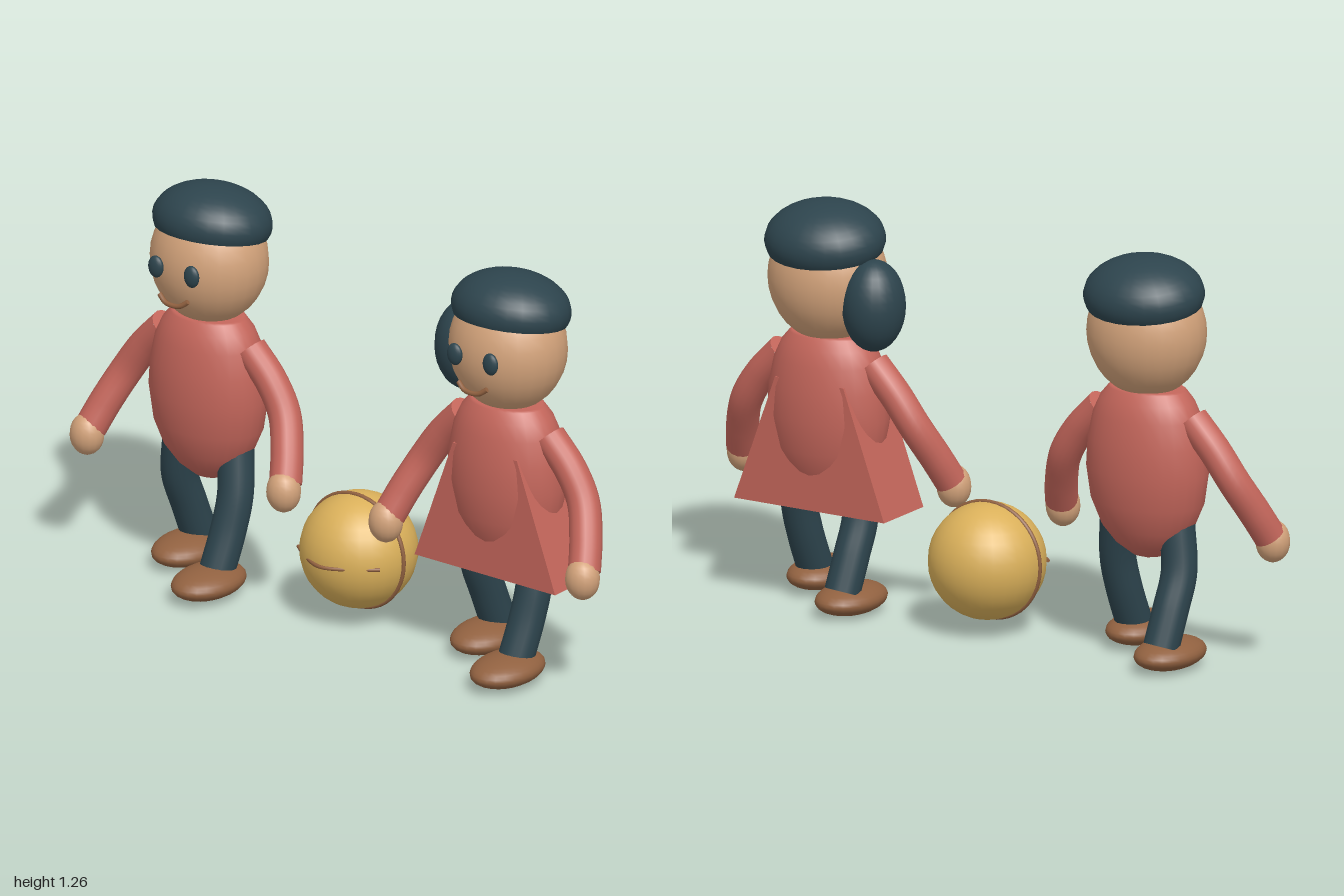
import * as THREE from 'three';
import { mergeGeometries } from 'three/addons/utils/BufferGeometryUtils.js';

const V = (x, y, z) => new THREE.Vector3(x, y, z);

function material(name, color) {
  const m = new THREE.MeshStandardMaterial({ color });
  m.name = name;
  return m;
}

function addMesh(parent, name, geometry, mat, x = 0, y = 0, z = 0) {
  const mesh = new THREE.Mesh(geometry, mat);
  mesh.name = name;
  mesh.position.set(x, y, z);
  parent.add(mesh);
  return mesh;
}

const ellipsoid = (rx, ry, rz, w = 24, h = 16) =>
  new THREE.SphereGeometry(1, w, h).scale(rx, ry, rz);

// Tube through points, closed with a flat disc at each end
function cappedTube(points, radius, segments = 20, sides = 16) {
  const curve = new THREE.CatmullRomCurve3(points);
  const parts = [new THREE.TubeGeometry(curve, segments, radius, sides)];
  for (const t of [0, 1]) {
    const dir = curve.getTangent(t).multiplyScalar(t ? 1 : -1);
    const disc = new THREE.CircleGeometry(radius, sides);
    disc.applyQuaternion(new THREE.Quaternion().setFromUnitVectors(V(0, 0, 1), dir));
    const p = curve.getPoint(t);
    parts.push(disc.translate(p.x, p.y, p.z));
  }
  return mergeGeometries(parts);
}

function createChild(mats, name, x) {
  const { skin, dark, red, brown } = mats;
  const child = new THREE.Group();
  child.name = name;
  child.position.set(x, 0, -0.045);

  // Body: flattened egg with a flat neckline
  const profile = [[0, 0.32], [0.05, 0.332], [0.105, 0.368], [0.15, 0.42], [0.185, 0.5], [0.2, 0.6],
    [0.195, 0.69], [0.178, 0.77], [0.155, 0.82], [0.128, 0.852], [0.12, 0.857], [0, 0.858]]
    .map(([r, y]) => new THREE.Vector2(r, y));
  addMesh(child, 'torso', new THREE.LatheGeometry(profile, 28).scale(1, 1, 0.715), red);

  // Head, cap-like hair and face
  addMesh(child, 'head', ellipsoid(0.187, 0.2, 0.17), skin, 0, 1.03, -0.005);
  const capGeo = new THREE.SphereGeometry(1, 24, 12, 0, Math.PI * 2, 0, Math.PI * 0.6).scale(0.19, 0.115, 0.17);
  const rim = new THREE.CircleGeometry(0.951, 24).rotateX(Math.PI / 2).scale(0.19, 1, 0.17).translate(0, -0.0355, 0);
  const hair = addMesh(child, 'hair', mergeGeometries([capGeo, rim]), dark, 0, 1.15, -0.02);
  hair.rotation.x = -0.15;
  addMesh(child, 'mouth', cappedTube(
    [V(-0.054, 0.954, 0.169), V(-0.025, 0.935, 0.176), V(0.025, 0.935, 0.176), V(0.054, 0.954, 0.169)],
    0.008, 12, 8), brown);

  for (const s of [-1, 1]) {
    const side = s > 0 ? 'left' : 'right';
    addMesh(child, side + 'Eye', ellipsoid(0.027, 0.035, 0.016, 16, 12), dark, s * 0.068, 1.04, 0.17);

    // Arms hang outward and swing slightly forward
    addMesh(child, side + 'Arm', cappedTube([V(s * 0.16, 0.775, 0), V(s * 0.24, 0.69, 0),
      V(s * 0.3, 0.6, 0.012), V(s * 0.345, 0.5, 0.058), V(s * 0.372, 0.42, 0.1)], 0.05), red);
    addMesh(child, side + 'Hand', ellipsoid(0.054, 0.066, 0.052, 16, 12), skin, s * 0.375, 0.402, 0.113);

    // Walking legs: left foot forward, right foot back
    const step = s * 0.09;
    addMesh(child, side + 'Leg', cappedTube([V(s * 0.105, 0.44, 0), V(s * 0.124, 0.3, step * 0.25 + 0.005),
      V(s * 0.12, 0.19, step * 0.65), V(s * 0.112, 0.08, step * 1.1)], 0.056), dark);
    addMesh(child, side + 'Shoe', ellipsoid(0.096, 0.047, 0.14), brown,
      s * 0.11, s > 0 ? 0.054 : 0.05, s > 0 ? 0.14 : -0.046);
  }
  return child;
}

export function createModel() {
  const mats = {
    skin: material('skin', 0xd2a27a),
    dark: material('dark teal', 0x2d444d),
    red: material('coral red', 0xc4665b),
    brown: material('brown', 0x916140),
    yellow: material('ball yellow', 0xdab05a),
  };
  const model = new THREE.Group();
  model.name = 'childrenWithBall';

  model.add(createChild(mats, 'boy', -0.57));
  const girl = createChild(mats, 'girl', 0.57);
  model.add(girl);

  // Flared dress and side ponytail
  const flare = new THREE.Shape([[-0.268, 0.32], [0.268, 0.32], [0.122, 0.72], [-0.122, 0.72]]
    .map(([x, y]) => new THREE.Vector2(x, y)));
  addMesh(girl, 'dress', new THREE.ExtrudeGeometry(flare, { depth: 0.22, bevelEnabled: false }),
    mats.red, 0, 0, -0.11);
  addMesh(girl, 'ponytail', ellipsoid(0.096, 0.142, 0.1), mats.dark, -0.19, 0.975, -0.045);

  // Ball with a seam ring and a front stripe
  const ball = new THREE.Group();
  ball.name = 'ball';
  ball.position.set(0, 0.226, -0.05);
  addMesh(ball, 'ballBody', ellipsoid(0.18, 0.18, 0.18, 28, 18), mats.yellow);
  addMesh(ball, 'ballSeam', new THREE.TorusGeometry(0.18, 0.007, 8, 48), mats.brown, 0, 0, 0.012);
  addMesh(ball, 'ballStripe', cappedTube([V(-0.156, 0, 0.096), V(-0.12, 0, 0.124), V(0, 0, 0.188),
    V(0.12, 0, 0.124), V(0.156, 0, 0.096)], 0.006, 24, 8), mats.brown);
  model.add(ball);

  return model;
}
